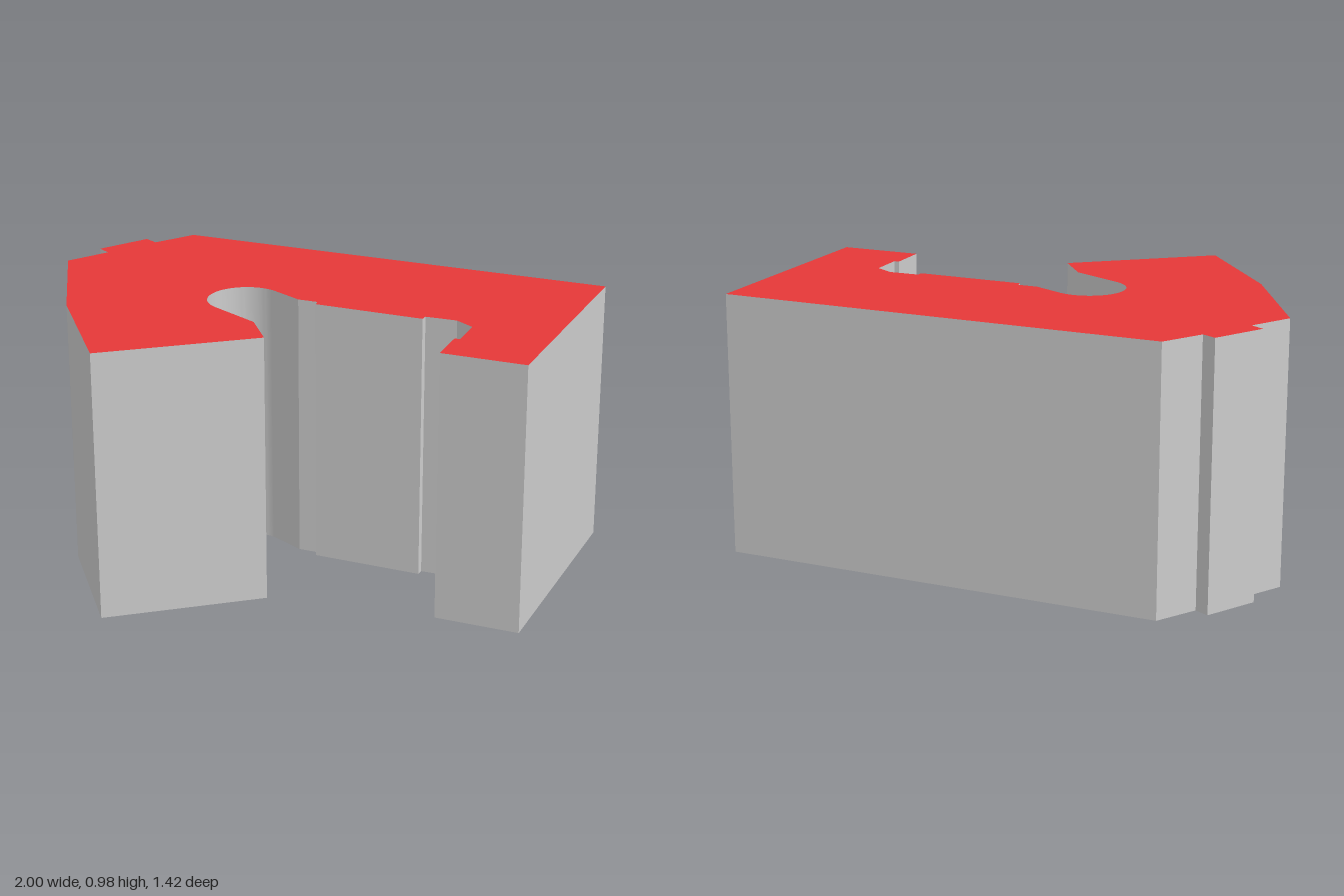
import * as THREE from 'three';
import { toCreasedNormals } from 'three/addons/utils/BufferGeometryUtils.js';

const HEIGHT = 0.98;

export function createModel() {
  const group = new THREE.Group();
  group.name = 'hookBlock';

  // Plan outline as [x, z], from the back corner round to the round slot
  const backAndClaw = [
    [-0.565, -0.715], [1, -0.14], [0.69, 0.71], [0.4, 0.605],
    [0.45, 0.457], [0.468, 0.463], [0.512, 0.335], [0.46, 0.27],
    [0.35, 0.233], [0.34, 0.257], [-0.04, 0.115], [-0.035, 0.09], [-0.105, 0.065],
  ];
  // From the slot mouth round the left leg to the stepped back-right corner
  const legAndStep = [
    [-0.243, 0.32], [-0.195, 0.48], [-0.76, 0.667], [-0.92, 0.17],
    [-1, -0.355], [-0.865, -0.468], [-0.902, -0.513], [-0.74, -0.65], [-0.7, -0.607],
  ];

  const outline = new THREE.Shape();
  backAndClaw.forEach(([x, z], i) => (i ? outline.lineTo(x, z) : outline.moveTo(x, z)));
  outline.absarc(-0.292, 0.07, 0.138, -Math.PI / 4, -Math.PI * 1.25, true);
  legAndStep.forEach(([x, z]) => outline.lineTo(x, z));
  outline.closePath();

  // Lay the extrusion flat so that its first cap becomes the top
  const extruded = new THREE.ExtrudeGeometry(outline, {
    depth: HEIGHT, bevelEnabled: false, curveSegments: 24,
  });
  extruded.rotateX(Math.PI / 2).translate(0, HEIGHT, 0);
  const capCount = extruded.groups[0].count / 2;
  const geometry = toCreasedNormals(extruded, 0.35);

  // Coloured top face; grey walls and underside
  geometry.clearGroups();
  geometry.addGroup(0, capCount, 0);
  geometry.addGroup(capCount, geometry.attributes.position.count - capCount, 1);
  const block = new THREE.Mesh(geometry, [
    new THREE.MeshStandardMaterial({ color: 0xe53838 }),
    new THREE.MeshStandardMaterial({ color: 0xcccccc }),
  ]);
  block.name = 'profileBlock';
  group.add(block);
  return group;
}
